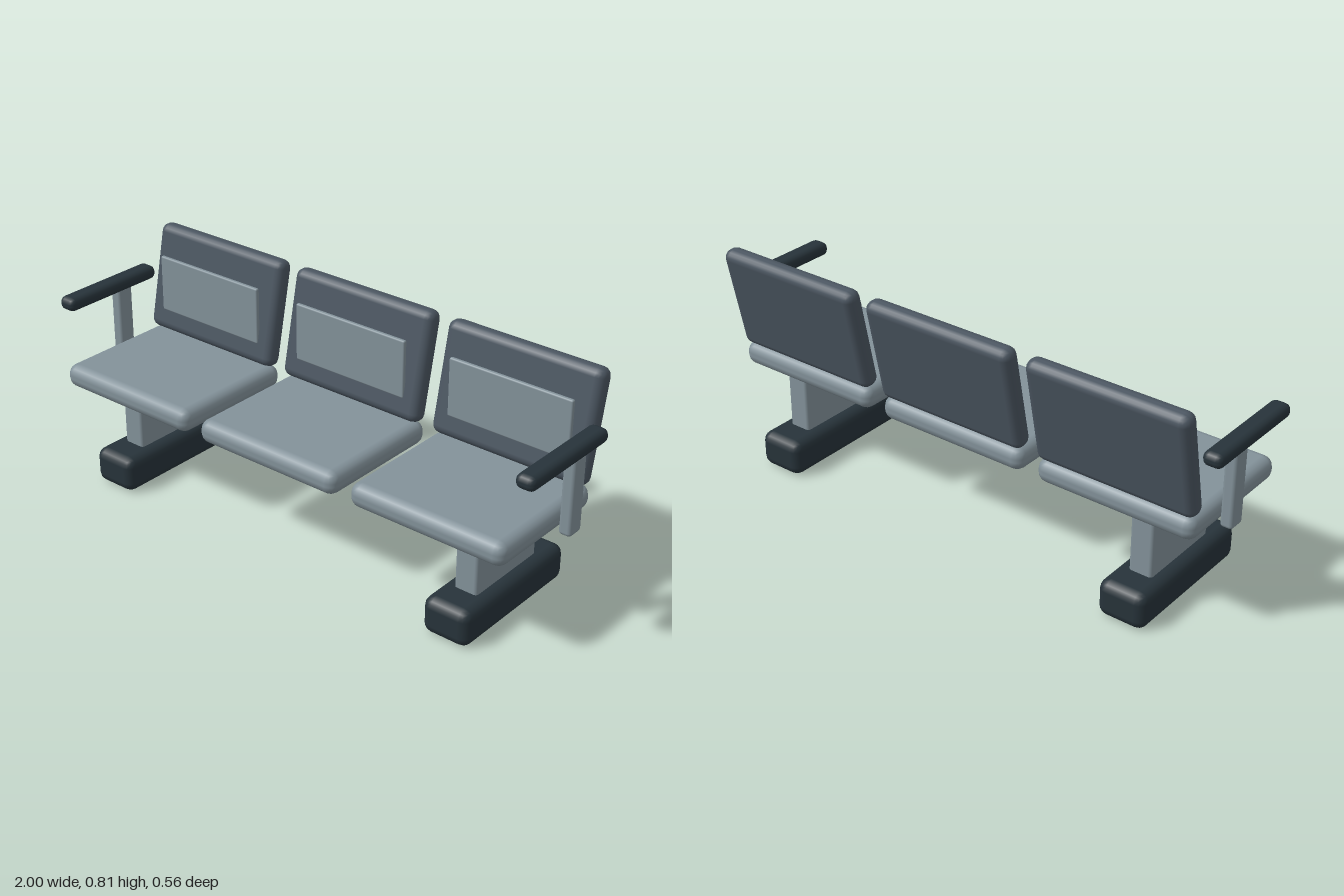
import * as THREE from 'three';
import { RoundedBoxGeometry } from 'three/addons/geometries/RoundedBoxGeometry.js';

const frameMat = new THREE.MeshStandardMaterial({ color: 0x83929a });
const shellMat = new THREE.MeshStandardMaterial({ color: 0x4b5661 });
const darkMat = new THREE.MeshStandardMaterial({ color: 0x27333a });

// Rounded block of the given size, centred on the given position
function block(parent, name, material, size, position, radius) {
  const mesh = new THREE.Mesh(new RoundedBoxGeometry(...size, 2, radius), material);
  mesh.name = name;
  mesh.position.set(...position);
  parent.add(mesh);
  return mesh;
}

export function createModel() {
  const bench = new THREE.Group();
  bench.name = 'waitingBench';

  // Three separate seats, each with a leaning back and an upright pad
  ['rightSeat', 'middleSeat', 'leftSeat'].forEach((name, i) => {
    const seat = new THREE.Group();
    seat.name = name;
    seat.position.x = (i - 1) * 0.645;
    block(seat, 'cushion', frameMat, [0.588, 0.086, 0.495], [0, 0.388, 0.036], 0.037);
    const back = block(seat, 'backrest', shellMat, [0.588, 0.39, 0.07], [0, 0.622, -0.213], 0.031);
    back.rotation.x = -0.205;
    block(seat, 'backPad', frameMat, [0.465, 0.21, 0.016], [0, 0.617, -0.161], 0.006);
    bench.add(seat);
  });

  // Mirrored armrests and pedestals
  for (const side of [-1, 1]) {
    const arm = new THREE.Group();
    arm.name = side > 0 ? 'leftArm' : 'rightArm';
    block(arm, 'armPost', frameMat, [0.045, 0.275, 0.065], [side * 0.969, 0.485, -0.037], 0.012);
    block(arm, 'armrest', darkMat, [0.07, 0.05, 0.418], [side * 0.965, 0.637, 0.028], 0.022);

    const pedestal = new THREE.Group();
    pedestal.name = side > 0 ? 'leftPedestal' : 'rightPedestal';
    block(pedestal, 'leg', frameMat, [0.086, 0.27, 0.328], [side * 0.733, 0.235, 0], 0.012);
    block(pedestal, 'foot', darkMat, [0.176, 0.132, 0.55], [side * 0.733, 0.066, 0], 0.035);
    bench.add(arm, pedestal);
  }
  return bench;
}
